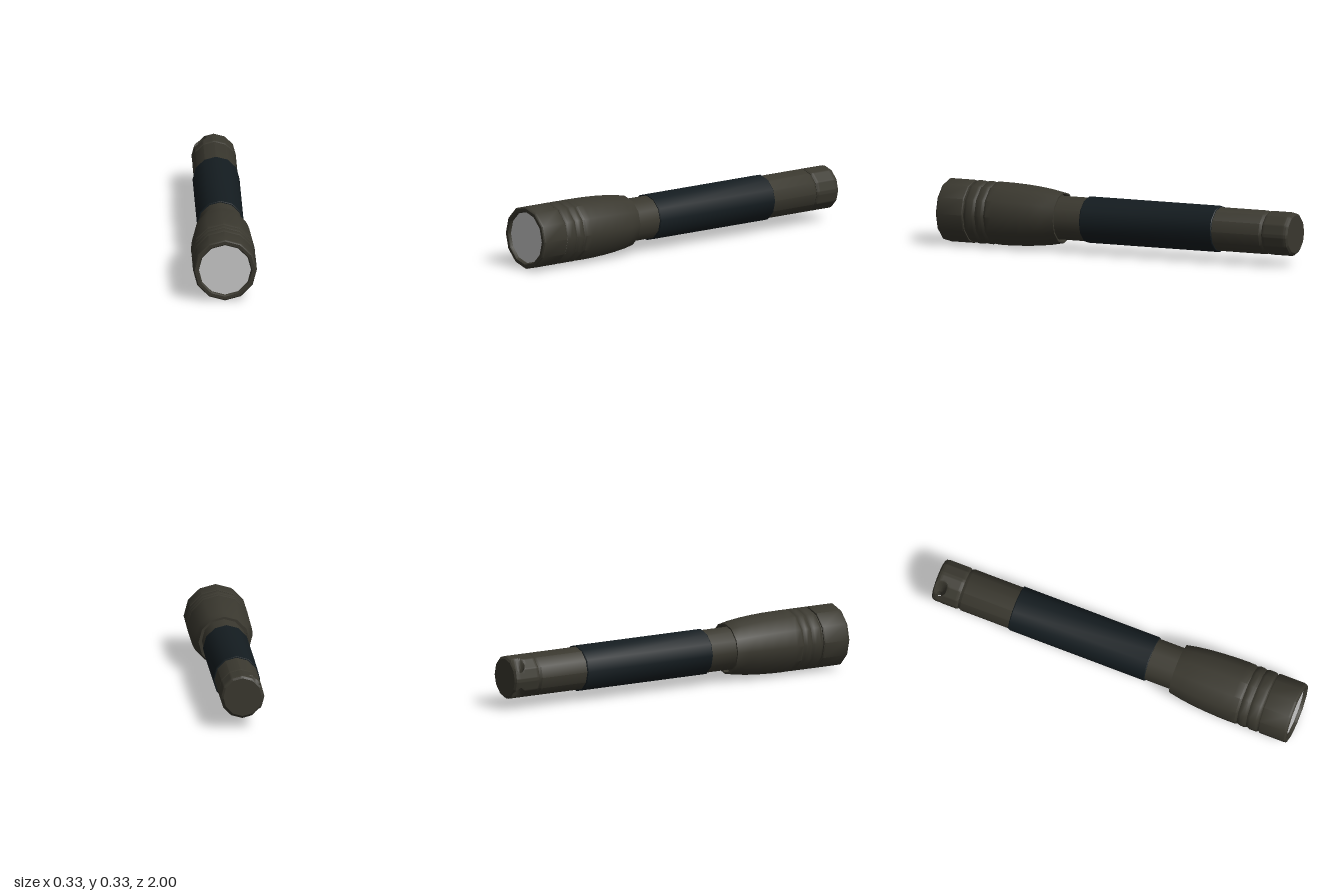
import * as THREE from 'three';
import { toCreasedNormals } from 'three/addons/utils/BufferGeometryUtils.js';

const SIDES = 12;
const AXIS_Y = 0.166;
const metal = new THREE.MeshStandardMaterial({ color: 0x3a382f, side: THREE.DoubleSide });
const rubber = new THREE.MeshStandardMaterial({ color: 0x141c20 });
const glass = new THREE.MeshStandardMaterial({ color: 0xcccccc });

// Turned part along z; profile is [radius, z] from back to front
function turned(name, profile, material) {
  const points = profile.map(([r, z]) => new THREE.Vector2(r, z));
  const geometry = new THREE.LatheGeometry(points, SIDES).rotateX(Math.PI / 2);
  return named(name, toCreasedNormals(geometry, 0.6), material);
}

function named(name, geometry, material) {
  const mesh = new THREE.Mesh(geometry, material);
  mesh.name = name;
  return mesh;
}

// Tail cap with a vertical cord hole, countersunk above and below
function tailCap() {
  const group = new THREE.Group();
  group.name = 'tailCap';
  const hole = { x: -0.084, z: -0.964, r: 0.014, y: 0.028, slope: 2.4 };
  const corners = [[0, -1], [0.1, -1], [0.111, -0.992], [0.115, -0.978], [0.115, -0.862], [0.109, -0.853], [0, -0.853]];

  // Profile split finely so the countersink can be pressed into it
  const points = [];
  corners.forEach(([r, z], i) => {
    points.push(new THREE.Vector2(r, z));
    const next = corners[i + 1];
    if (!next) return;
    const steps = Math.ceil(Math.hypot(next[0] - r, next[1] - z) / 0.005);
    for (let s = 1; s < steps; s++) {
      const t = s / steps;
      points.push(new THREE.Vector2(r + (next[0] - r) * t, z + (next[1] - z) * t));
    }
  });
  const geometry = new THREE.LatheGeometry(points, SIDES * 10).rotateX(Math.PI / 2);
  const position = geometry.attributes.position;
  const inside = [];
  const step = (2 * Math.PI) / SIDES;
  for (let i = 0; i < position.count; i++) {
    let x = position.getX(i), y = position.getY(i), z = position.getZ(i);
    // Flatten the circle to the twelve-sided section
    const angle = Math.atan2(y, x) + 2 * Math.PI;
    const flat = Math.cos(step / 2) / Math.cos((angle % step) - step / 2);
    x *= flat;
    y *= flat;
    // Press in the funnel; points over the bore move to its rim
    const d = Math.hypot(x - hole.x, z - hole.z);
    const floor = hole.y + Math.max(0, d - hole.r) * hole.slope;
    inside[i] = d < hole.r && Math.abs(y) > hole.y;
    if (Math.abs(y) > floor) y = Math.sign(y) * floor;
    if (inside[i] && d > 1e-6) {
      x = hole.x + (x - hole.x) * hole.r / d;
      z = hole.z + (z - hole.z) * hole.r / d;
    }
    position.setXYZ(i, x, y, z);
  }
  // Open the bore
  const index = geometry.index.array, kept = [];
  for (let i = 0; i < index.length; i += 3) {
    const face = [index[i], index[i + 1], index[i + 2]];
    if (!face.every((v) => inside[v])) kept.push(...face);
  }
  geometry.setIndex(kept);
  group.add(named('tailCapShell', toCreasedNormals(geometry, 0.6), metal));

  const bore = named('cordHole', new THREE.CylinderGeometry(hole.r, hole.r, hole.y * 2, 16, 1, true), metal);
  bore.position.set(hole.x, 0, hole.z);
  group.add(bore);
  return group;
}

export function createModel() {
  const model = new THREE.Group();
  model.name = 'flashlight';
  const torch = new THREE.Group();
  torch.name = 'torch';
  torch.position.y = AXIS_Y;
  model.add(torch);

  torch.add(tailCap());

  // Battery tube
  torch.add(turned('barrel', [
    [0, -0.855], [0.106, -0.855], [0.108, -0.85], [0.115, -0.838], [0.115, 0.4],
  ], metal));

  // Sleeve around the barrel
  torch.add(turned('grip', [
    [0.113, -0.567], [0.119, -0.567], [0.122, -0.563], [0.122, 0.19], [0.119, 0.194], [0.113, 0.194],
  ], rubber));

  // Flared head with a hollow rear lip
  torch.add(turned('head', [
    [0.114, 0.37], [0.126, 0.37], [0.126, 0.338], [0.134, 0.338], [0.146, 0.4], [0.155, 0.47],
    [0.161, 0.54], [0.165, 0.62], [0.166, 0.68], [0.165, 0.715], [0.159, 0.727],
  ], metal));

  // Two rounded rings
  [[0.727, 0.778], [0.778, 0.84]].forEach(([back, front], i) => {
    torch.add(turned('headRing' + (i + 1), [
      [0.159, back], [0.164, back + 0.008], [0.166, back + 0.016],
      [0.166, front - 0.016], [0.164, front - 0.008], [0.159, front],
    ], metal));
  });

  // Front bezel and lens
  torch.add(turned('bezel', [
    [0.155, 0.838], [0.155, 0.846], [0.163, 0.846], [0.166, 0.852], [0.166, 0.985], [0.164, 0.994],
    [0.158, 1], [0.142, 1], [0.136, 0.992], [0.135, 0.98],
  ], metal));
  torch.add(turned('lens', [[0.1355, 0.984], [0, 0.984]], glass));

  return model;
}
